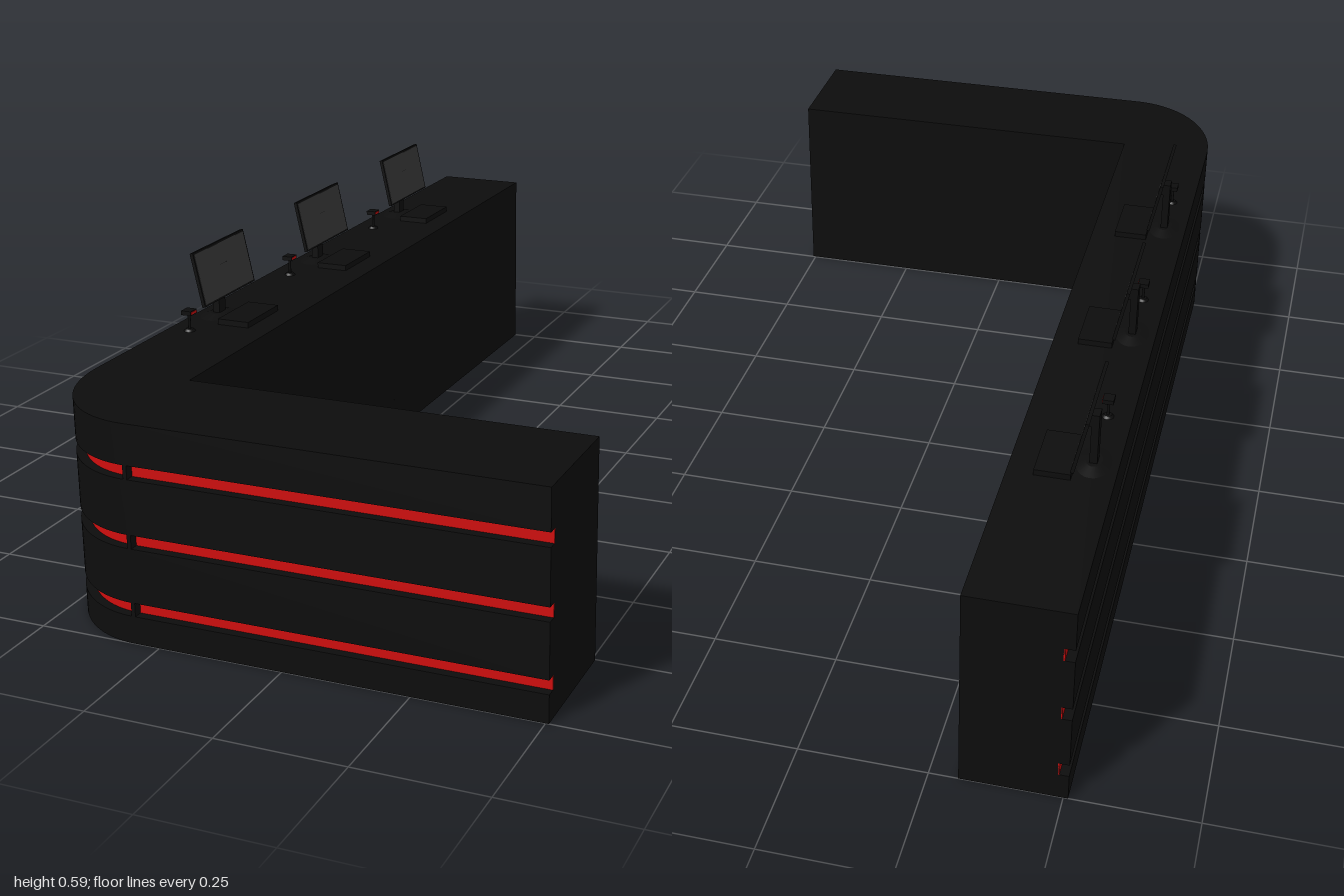
import * as THREE from 'three';
import { toCreasedNormals } from 'three/addons/utils/BufferGeometryUtils.js';

const TOP = 0.432;
const black = new THREE.MeshStandardMaterial({ color: 0x0d0d0d });
const red = new THREE.MeshStandardMaterial({ color: 0xd00e0e });
const grey = new THREE.MeshStandardMaterial({ color: 0x3c3c3c });

function add(parent, name, geometry, material, x = 0, y = 0, z = 0) {
  const mesh = new THREE.Mesh(geometry, material);
  mesh.name = name;
  mesh.position.set(x, y, z);
  parent.add(mesh);
  return mesh;
}

// Outer edge of the counter in plan (x, z), moved inwards by inset
function outerEdge(inset) {
  const points = [new THREE.Vector2(0.506, 1 - inset)];
  for (let i = 0; i <= 24; i++) {
    const a = Math.PI / 2 * (1 + i / 24);
    points.push(new THREE.Vector2(-0.3 + (0.209 - inset) * Math.cos(a), 0.75 + (0.25 - inset) * Math.sin(a)));
  }
  points.push(new THREE.Vector2(-0.509 + inset, -1));
  return points;
}

// Plan outline raised from y0 to y1
function slab(points, y0, y1) {
  const g = new THREE.ExtrudeGeometry(new THREE.Shape(points), { depth: y1 - y0, bevelEnabled: false });
  g.rotateX(Math.PI / 2).translate(0, y1, 0);
  return toCreasedNormals(g, 0.5);
}

const counterPlan = inset => [
  ...outerEdge(inset),
  new THREE.Vector2(-0.306, -1), new THREE.Vector2(-0.306, 0.752), new THREE.Vector2(0.506, 0.752),
];

function createCounter() {
  const counter = new THREE.Group();
  counter.name = 'counter';
  const grooves = [[0.055, 0.082], [0.19, 0.217], [0.325, 0.352]];
  let y = 0;
  for (const [y0, y1] of grooves) {
    add(counter, 'counterPanel', slab(counterPlan(0), y, y0), black);
    add(counter, 'grooveCore', slab(counterPlan(0.02), y0, y1), black);
    // Red strip lying in the groove
    const ribbon = [...outerEdge(0.018), ...outerEdge(0.021).reverse()];
    add(counter, 'redStrip', slab(ribbon, y0, y1), red);
    // Dividers at both ends of the rounded corner
    const h = y1 - y0, mid = (y0 + y1) / 2;
    add(counter, 'frontDivider', new THREE.BoxGeometry(0.008, h, 0.03), black, -0.301, mid, 0.985);
    add(counter, 'sideDivider', new THREE.BoxGeometry(0.03, h, 0.008), black, -0.494, mid, 0.746);
    y = y1;
  }
  add(counter, 'counterTop', slab(counterPlan(0), y, TOP), black);
  return counter;
}

function createMonitor() {
  const monitor = new THREE.Group();
  monitor.name = 'monitor';
  // Low domed foot and upright
  const foot = new THREE.CylinderGeometry(0.016, 0.034, 0.007, 24).scale(1, 1, 1.5);
  add(monitor, 'monitorFoot', foot, black, -0.461, TOP + 0.0035, 0);
  add(monitor, 'monitorPost', new THREE.BoxGeometry(0.015, 0.11, 0.026), black, -0.461, 0.491, 0);
  add(monitor, 'monitorBracket', new THREE.BoxGeometry(0.016, 0.024, 0.026), black, -0.454, 0.533, 0);
  // Tilted screen facing the inner side
  const head = new THREE.Group();
  head.name = 'screen';
  head.position.set(-0.448, 0.534, 0);
  head.rotation.z = 0.21;
  add(head, 'screenHousing', new THREE.BoxGeometry(0.007, 0.114, 0.212), black);
  add(head, 'screenPanel', new THREE.BoxGeometry(0.001, 0.106, 0.204), grey, 0.0036);
  monitor.add(head);
  // Keyboard
  add(monitor, 'keyboard', new THREE.BoxGeometry(0.07, 0.012, 0.132), black, -0.393, TOP + 0.006, 0);
  return monitor;
}

function createScanner() {
  const scanner = new THREE.Group();
  scanner.name = 'scanner';
  add(scanner, 'scannerBase', new THREE.CylinderGeometry(0.008, 0.012, 0.005, 20), black, 0, 0.0025, 0);
  add(scanner, 'scannerStem', new THREE.CylinderGeometry(0.003, 0.003, 0.036, 12), black, 0, 0.021, 0);
  add(scanner, 'scannerHead', new THREE.BoxGeometry(0.022, 0.009, 0.025), black, 0, 0.04, 0);
  add(scanner, 'scannerWindow', new THREE.BoxGeometry(0.001, 0.005, 0.021), red, 0.0113, 0.04, 0);
  return scanner;
}

export function createModel() {
  const model = new THREE.Group();
  model.name = 'receptionDesk';
  model.add(createCounter());
  // Three workplaces along the long arm
  for (let i = 0; i < 3; i++) {
    const monitor = createMonitor();
    monitor.position.z = 0.357 - 0.4625 * i;
    const scanner = createScanner();
    scanner.position.set(-0.461, TOP, 0.481 - 0.447 * i);
    model.add(monitor, scanner);
  }
  return model;
}
